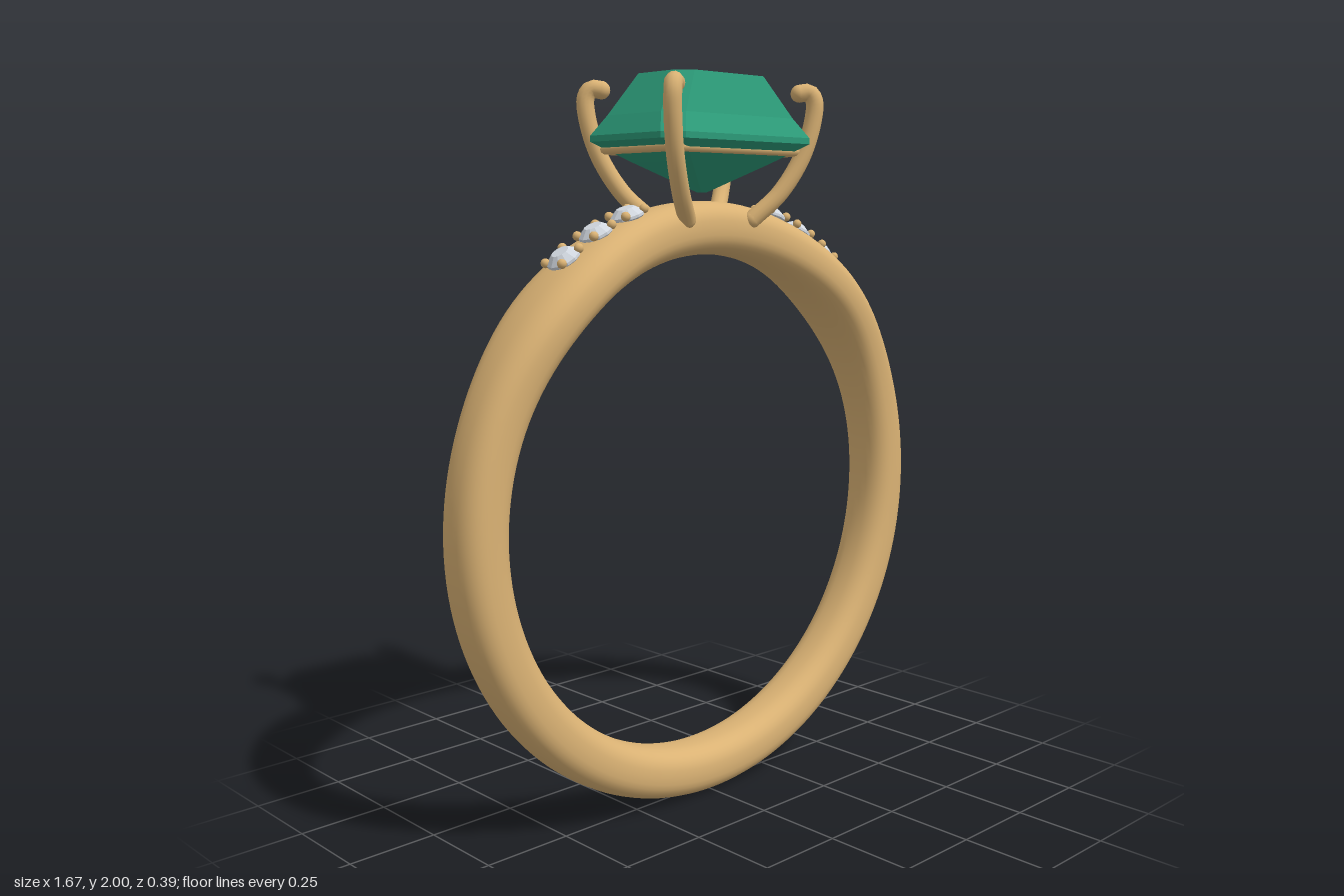
import * as THREE from 'three';

const gold = new THREE.MeshStandardMaterial({ color: 0xdab274 });
gold.name = 'gold';
const green = new THREE.MeshStandardMaterial({ color: 0x2c9a78 });
green.name = 'greenGem';
const clear = new THREE.MeshStandardMaterial({ color: 0xd2d8e0 });
clear.name = 'clearStone';

const CY = 0.835; // height of the band's centre

function add(parent, name, geometry, material) {
  const mesh = new THREE.Mesh(geometry, material);
  mesh.name = name;
  parent.add(mesh);
  return mesh;
}

// Band: rounded section swept round a circle, swelling at both shoulders
function bandGeometry() {
  const N = 160, M = 32, R = 0.763, depth = 0.072;
  const pos = [], index = [];
  const soft = (v) => Math.sign(v) * Math.abs(v) ** 0.8;
  for (let i = 0; i < N; i++) {
    const t = (i / N) * Math.PI * 2;
    const fromTop = THREE.MathUtils.radToDeg(Math.min(t, Math.PI * 2 - t));
    const half = 0.079 + 0.035 * Math.exp(-(((fromTop - 40) / 14) ** 2) / 2);
    for (let j = 0; j < M; j++) {
      const p = (j / M) * Math.PI * 2;
      const r = R + depth * soft(Math.cos(p));
      pos.push(Math.sin(t) * r, CY + Math.cos(t) * r, half * soft(Math.sin(p)));
      const a = i * M + j, b = i * M + ((j + 1) % M);
      const c = ((i + 1) % N) * M + j, d = ((i + 1) % N) * M + ((j + 1) % M);
      index.push(a, b, c, b, d, c);
    }
  }
  const g = new THREE.BufferGeometry();
  g.setAttribute('position', new THREE.Float32BufferAttribute(pos, 3));
  g.setIndex(index);
  g.computeVertexNormals();
  return g;
}

// Flat-faceted stone from loops listed top to bottom, capped at both ends
function facetGeometry(loops) {
  const pos = [];
  const tri = (...pts) => pts.forEach((p) => pos.push(...p));
  const n = loops[0].length, last = loops[loops.length - 1];
  for (let j = 0; j < n; j++) {
    const k = (j + 1) % n;
    for (let i = 0; i < loops.length - 1; i++) {
      const a = loops[i], b = loops[i + 1];
      tri(b[j], a[j], b[k]);
      tri(a[j], a[k], b[k]);
    }
    tri([0, loops[0][0][1], 0], loops[0][k], loops[0][j]);
    tri([0, last[0][1], 0], last[j], last[k]);
  }
  const g = new THREE.BufferGeometry();
  g.setAttribute('position', new THREE.Float32BufferAttribute(pos, 3));
  g.computeVertexNormals();
  return g;
}

// Rectangle with cut corners
const cutLoop = ([y, x, z, c]) => [
  [x, y, c - z], [x, y, z - c], [x - c, y, z], [c - x, y, z],
  [-x, y, z - c], [-x, y, c - z], [c - x, y, -z], [x - c, y, -z],
];

// Regular loop for the round stones
const roundLoop = ([y, r]) => Array.from({ length: 12 }, (_, i) => {
  const a = (i / 12) * Math.PI * 2;
  return [Math.cos(a) * r, y, Math.sin(a) * r];
});

export function createModel() {
  const ring = new THREE.Group();
  ring.name = 'ring';

  add(ring, 'band', bandGeometry(), gold);

  // Main stone: table, stepped crown, girdle, pavilion, culet
  add(ring, 'centreStone', facetGeometry([
    [2.0, 0.167, 0.107, 0.04],
    [1.89, 0.243, 0.15, 0.045],
    [1.838, 0.275, 0.183, 0.045],
    [1.822, 0.275, 0.183, 0.045],
    [1.77, 0.175, 0.115, 0.03],
    [1.692, 0.012, 0.008, 0.003],
  ].map(cutLoop)), green);

  // Four prongs, each hooked over a corner
  const setting = new THREE.Group();
  setting.name = 'setting';
  ring.add(setting);
  for (const sx of [-1, 1]) for (const sz of [-1, 1]) {
    const pts = [
      [0.122, 1.62, 0.072], [0.185, 1.69, 0.115], [0.237, 1.79, 0.15],
      [0.261, 1.89, 0.168], [0.262, 1.94, 0.17], [0.251, 1.96, 0.161], [0.229, 1.958, 0.145],
    ].map(([x, y, z]) => new THREE.Vector3(x * sx, y, z * sz));
    const curve = new THREE.CatmullRomCurve3(pts);
    add(setting, 'prong', new THREE.TubeGeometry(curve, 40, 0.024, 14), gold);
    for (const end of [pts[0], pts[pts.length - 1]]) {
      add(setting, 'prongEnd', new THREE.SphereGeometry(0.024, 14, 10), gold).position.copy(end);
    }
  }

  // Rail joining the prongs below the stone
  const rx = 0.235, rz = 0.145;
  for (const s of [-1, 1]) {
    const long = add(setting, 'railLong', new THREE.CylinderGeometry(0.013, 0.013, rx * 2, 12), gold);
    long.rotation.z = Math.PI / 2;
    long.position.set(0, 1.803, s * rz);
    const short = add(setting, 'railShort', new THREE.CylinderGeometry(0.013, 0.013, rz * 2, 12), gold);
    short.rotation.x = Math.PI / 2;
    short.position.set(s * rx, 1.803, 0);
  }

  // Three small stones on each shoulder, each held by four beads
  const stone = facetGeometry([[0.025, 0.024], [0.007, 0.046], [0.0, 0.046], [-0.035, 0.004]].map(roundLoop));
  const bead = new THREE.SphereGeometry(0.0125, 12, 8);
  for (const side of [-1, 1]) for (const deg of [18.6, 26.5, 34.8]) {
    const t = side * THREE.MathUtils.degToRad(deg);
    const seat = new THREE.Group();
    seat.name = 'shoulderStone';
    seat.position.set(Math.sin(t) * 0.835, CY + Math.cos(t) * 0.835, 0);
    seat.rotation.z = -t;
    ring.add(seat);
    add(seat, 'smallStone', stone, clear);
    for (const bx of [-1, 1]) for (const bz of [-1, 1]) {
      add(seat, 'bead', bead, gold).position.set(bx * 0.033, 0.012, bz * 0.033);
    }
  }
  return ring;
}
